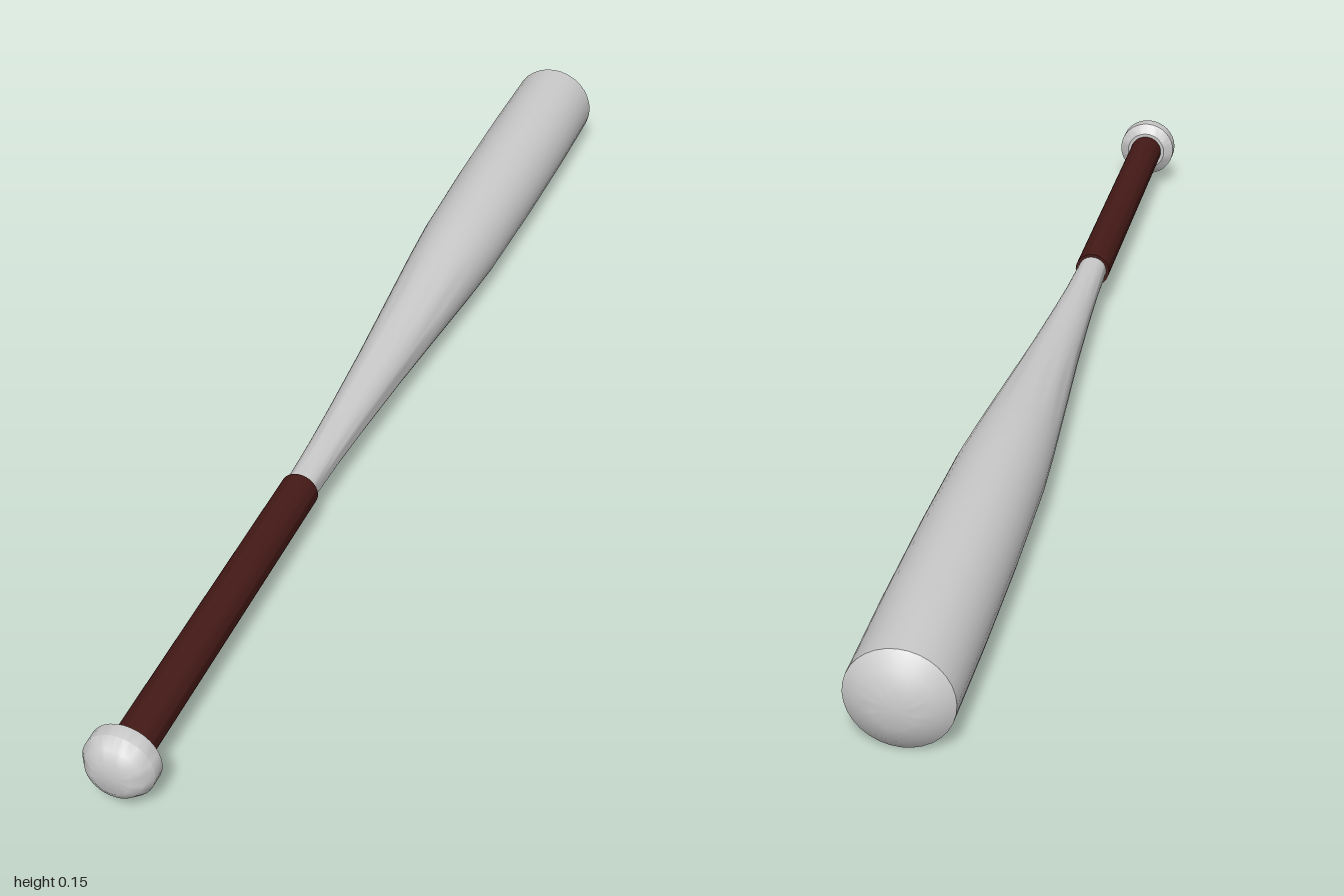
import * as THREE from 'three';
import { toCreasedNormals } from 'three/addons/utils/BufferGeometryUtils.js';

const AXIS_Y = 0.077;
const SIDES = 32;

// Turned part: profile of [z, radius] from back to front, spun about the z axis
function turned(name, profile, color) {
  const points = profile.map(([z, r]) => new THREE.Vector2(r, z));
  const geometry = new THREE.LatheGeometry(points, SIDES);
  geometry.rotateX(Math.PI / 2);
  const mesh = new THREE.Mesh(
    toCreasedNormals(geometry, 0.6),
    new THREE.MeshStandardMaterial({ color })
  );
  mesh.name = name;
  mesh.position.y = AXIS_Y;
  return mesh;
}

export function createModel() {
  const group = new THREE.Group();
  group.name = 'baseballBat';

  // Rounded tip, thick barrel and long taper down to the handle
  group.add(turned('barrel', [
    [-1, 0], [-0.998, 0.03], [-0.988, 0.055], [-0.972, 0.075],
    [-0.8, 0.076], [-0.6, 0.0745], [-0.4, 0.07], [-0.3, 0.064],
    [-0.15, 0.053], [0, 0.042], [0.15, 0.033], [0.25, 0.028],
    [0.35, 0.025], [0.4, 0.025],
  ], 0xcccccc));

  // Wrapped grip, slightly thicker than the handle
  group.add(turned('grip', [
    [0.352, 0.02], [0.352, 0.03], [0.65, 0.03], [0.945, 0.03],
  ], 0x451a17));

  // Chamfered end knob
  group.add(turned('knob', [
    [0.94, 0], [0.94, 0.036], [0.953, 0.0525], [0.975, 0.0525],
    [0.991, 0.042], [1, 0.028], [1, 0],
  ], 0xcccccc));

  return group;
}
